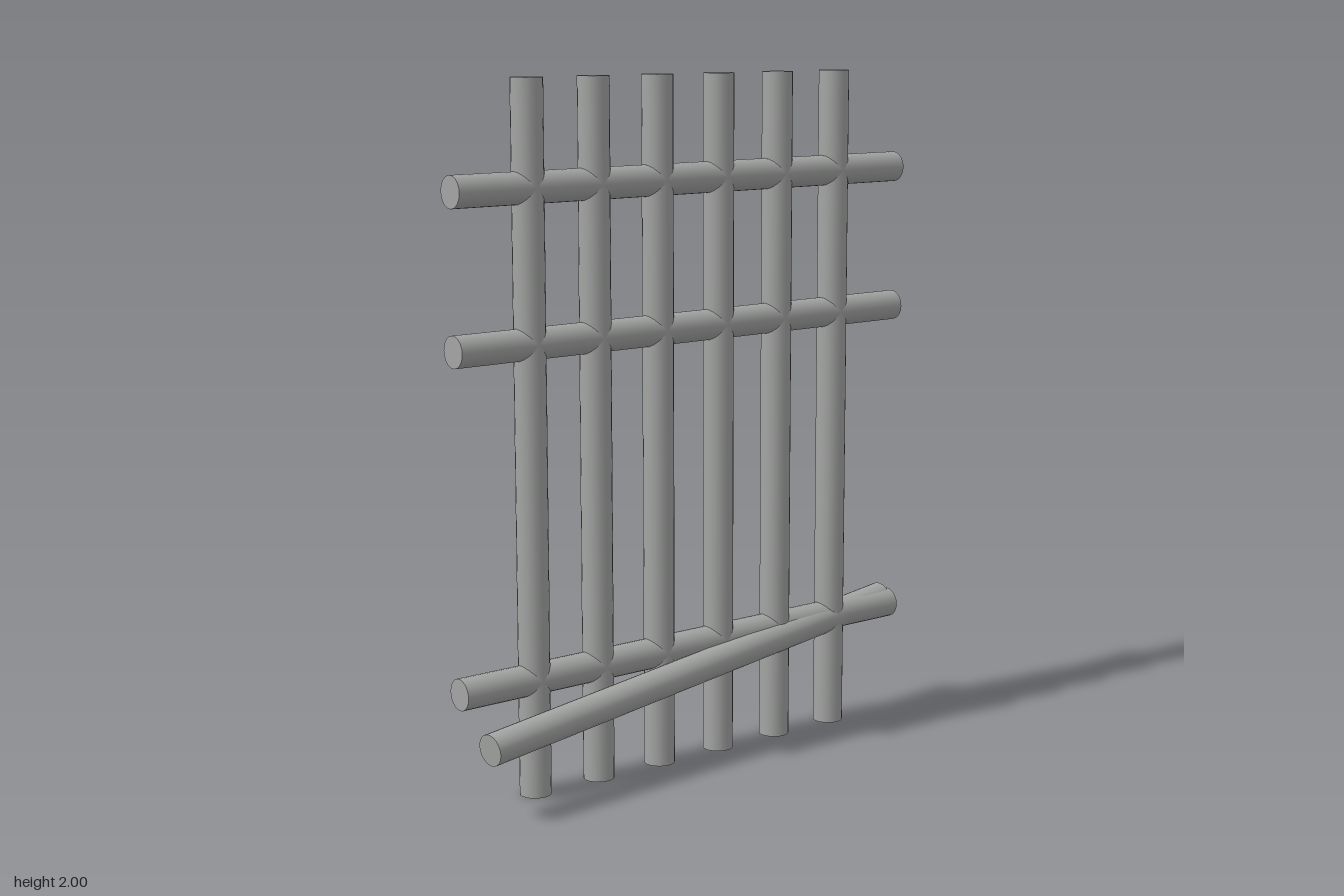
import * as THREE from 'three';

export function createModel() {
  const group = new THREE.Group();
  const steel = new THREE.MeshStandardMaterial({ color: 0xa3a5a3 });
  steel.name = 'greySteel';
  const radius = 0.045;
  const up = new THREE.Vector3(0, 1, 0);

  // Round bar running from one point to another
  function bar(name, from, to) {
    const a = new THREE.Vector3(...from);
    const b = new THREE.Vector3(...to);
    const dir = b.clone().sub(a);
    const mesh = new THREE.Mesh(new THREE.CylinderGeometry(radius, radius, dir.length(), 20), steel);
    mesh.name = name;
    mesh.position.copy(a).add(b).multiplyScalar(0.5);
    mesh.quaternion.setFromUnitVectors(up, dir.normalize());
    group.add(mesh);
  }

  const x = -0.06;

  // Six evenly spaced uprights
  for (let i = 0; i < 6; i++) {
    const z = (i - 2.5) * 0.2215;
    bar('upright' + (i + 1), [x, 0, z], [x, 2, z]);
  }

  // Three horizontal rails
  [['topRail', 1.705], ['middleRail', 1.28], ['bottomRail', 0.335]].forEach(([name, y]) =>
    bar(name, [x, y, -0.802], [x, y, 0.802]));

  // Loose bar slanting out and down from the bottom rail
  bar('slantedBar', [-0.08, 0.35, -0.788], [0.078, 0.211, 0.797]);

  return group;
}
